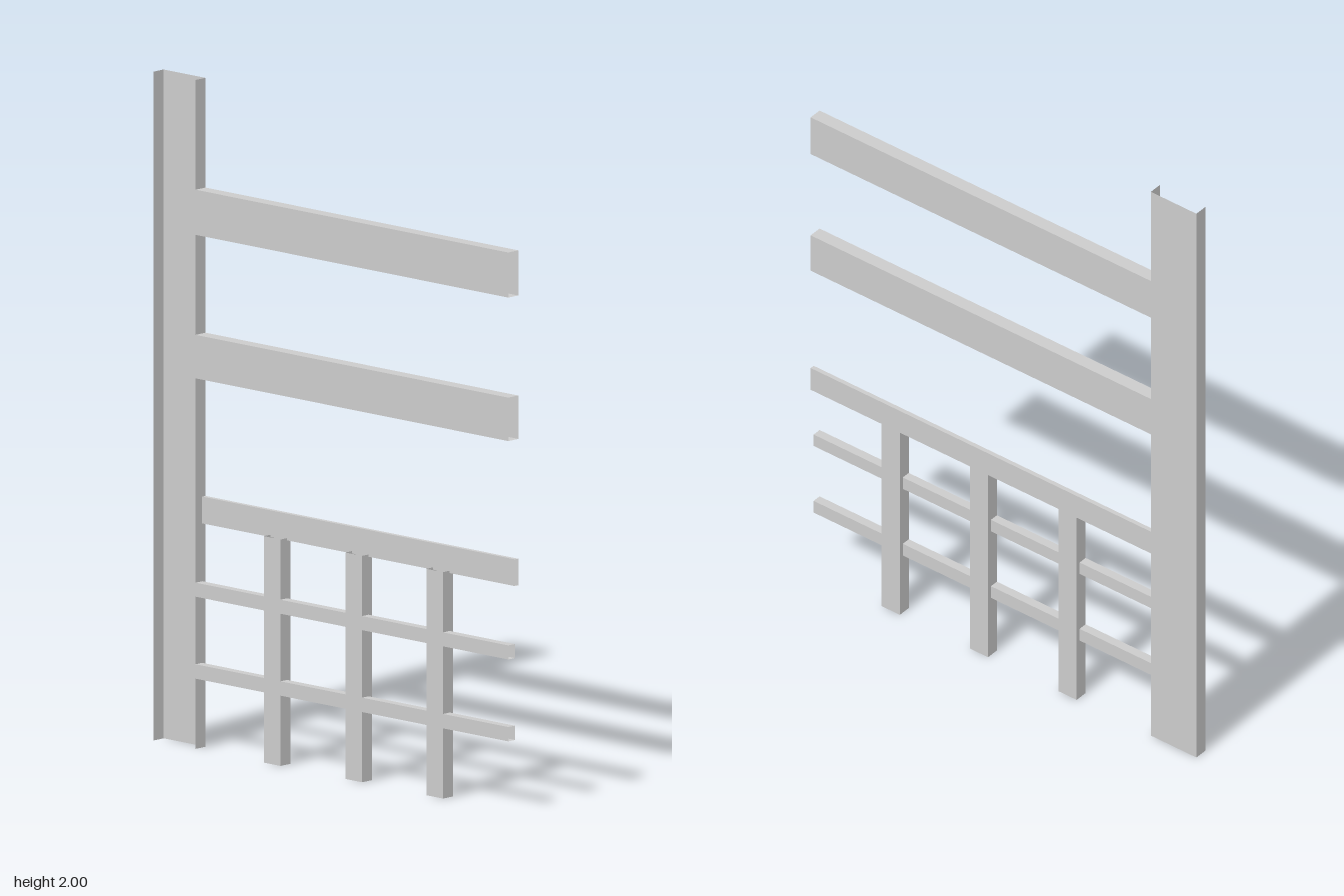
import * as THREE from 'three';

const metal = new THREE.MeshStandardMaterial({ color: 0xcccccc, side: THREE.DoubleSide, flatShading: true });
const HALF = 0.021; // half thickness of the panel
const MID = 0.007; // where the handrail and the thin rails meet
const FRONT = 0.72, POST_FRONT = -0.55;

// Sheet-metal section: a box with the listed faces left open.
// Face order: 0 +x, 1 -x, 2 +y, 3 -y, 4 +z, 5 -z
function section(name, [x0, x1], [y0, y1], [z0, z1], open) {
  const geometry = new THREE.BoxGeometry(x1 - x0, y1 - y0, z1 - z0);
  const index = Array.from(geometry.index.array);
  geometry.setIndex(index.filter((_, i) => !open.includes(Math.floor(i / 6))));
  geometry.clearGroups();
  geometry.translate((x0 + x1) / 2, (y0 + y1) / 2, (z0 + z1) / 2);
  const mesh = new THREE.Mesh(geometry, metal);
  mesh.name = name;
  return mesh;
}

export function createModel() {
  const group = new THREE.Group();
  group.name = 'railingPanel';
  const full = [-HALF, HALF];
  const run = [POST_FRONT, FRONT];

  // Channel post, open towards -x and at both ends
  group.add(section('channelPost', full, [0, 2], [-0.72, POST_FRONT], [1, 2, 3]));

  // Two deep hollow beams
  [[1.537, 1.672], [1.108, 1.238]].forEach((y, i) =>
    group.add(section(`upperBeam${i + 1}`, full, y, run, [4, 5])));

  // Slim handrail flush with the web side
  group.add(section('handrail', [MID, HALF], [0.67, 0.75], run, [4, 5]));

  // Thin rails flush with the open side
  [[0.455, 0.497], [0.21, 0.253]].forEach((y, i) =>
    group.add(section(`thinRail${i + 1}`, [-HALF, MID], y, run, [4, 5])));

  // Hollow balusters
  [0.421, 0.092, -0.239].forEach((z, i) =>
    group.add(section(`baluster${i + 1}`, full, [0, 0.677], [z - 0.034, z + 0.034], [2, 3])));

  return group;
}
